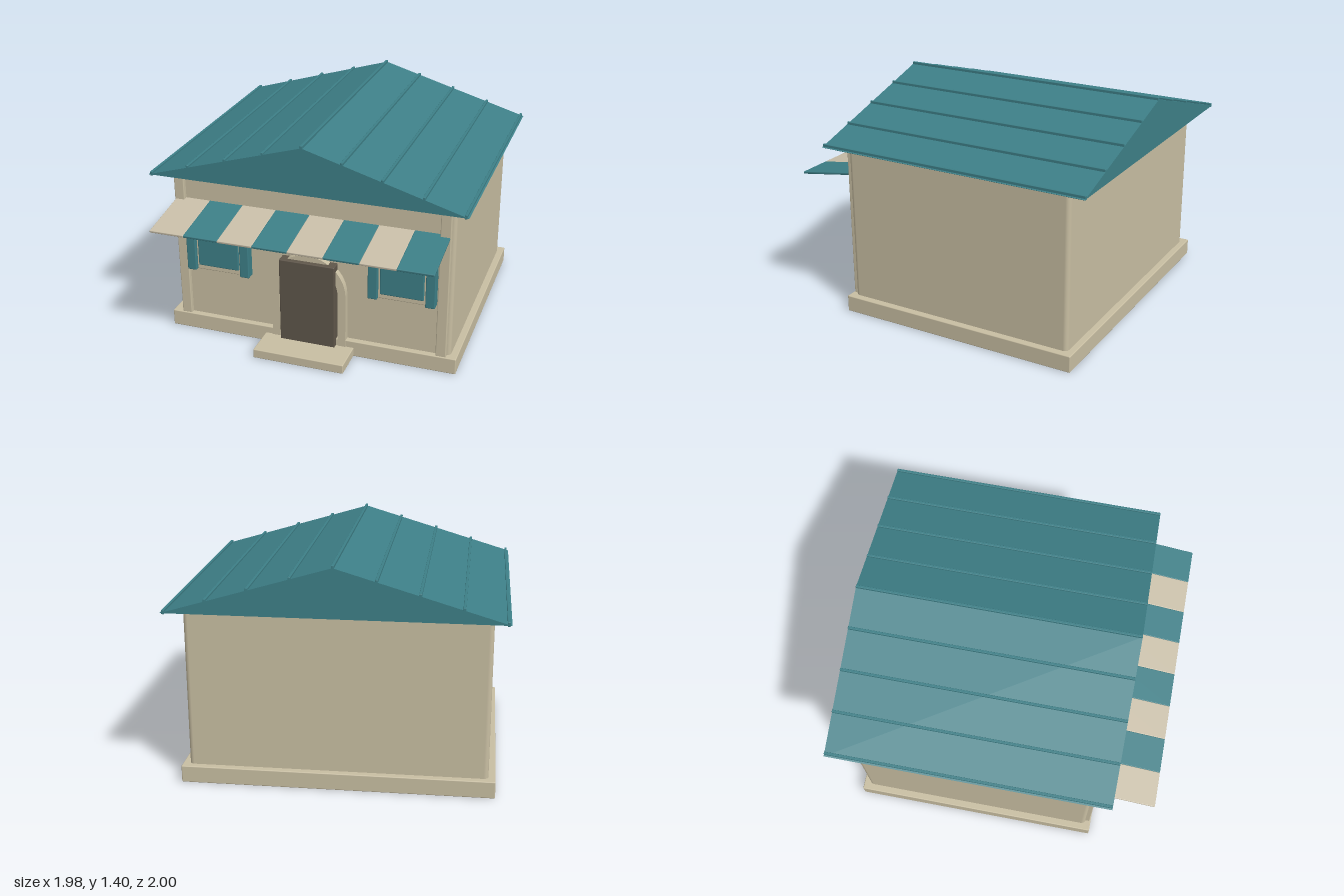
import * as THREE from 'three';
import { RoundedBoxGeometry } from 'three/addons/geometries/RoundedBoxGeometry.js';

const mat = (name, color) => new THREE.MeshStandardMaterial({ name, color });

export function createModel() {
  const house = new THREE.Group();
  house.name = 'house';
  const cream = mat('cream plaster', 0xc8bea2);
  const canvas = mat('canvas', 0xc9bfa9);
  const teal = mat('teal', 0x3d7f87);
  const brown = mat('dark brown', 0x5f564a);

  const add = (name, geometry, material, parent = house) => {
    const mesh = new THREE.Mesh(geometry, material);
    mesh.name = name;
    parent.add(mesh);
    return mesh;
  };

  // Softened box given by its extents on each axis
  const box = (name, [x0, x1], [y0, y1], [z0, z1], material, r = 0.006, parent = house) => {
    const mesh = add(name, new RoundedBoxGeometry(x1 - x0, y1 - y0, z1 - z0, 2, r), material, parent);
    mesh.position.set((x0 + x1) / 2, (y0 + y1) / 2, (z0 + z1) / 2);
    return mesh;
  };

  // Foundation, walls and doorstep
  box('foundation', [-0.937, 0.937], [0, 0.105], [-0.91, 0.65], cream);
  box('walls', [-0.895, 0.895], [0.07, 1.09], [-0.87, 0.615], cream, 0.028);
  box('doorstep', [-0.292, 0.292], [0, 0.06], [0.6, 0.86], cream);

  // Front corner pilasters
  for (const s of [-1, 1]) {
    const [a, b] = [s * 0.807, s * 0.872].sort((p, q) => p - q);
    box('cornerPilaster', [a, b], [0.1, 1.092], [0.58, 0.642], cream);
  }

  // Gable roof
  const halfSpan = 0.988, eave = 1.09, ridge = 1.383, back = -1, front = 0.737;
  const gable = new THREE.Shape([
    new THREE.Vector2(-halfSpan, eave),
    new THREE.Vector2(halfSpan, eave),
    new THREE.Vector2(0, ridge),
  ]);
  const roof = add('roof', new THREE.ExtrudeGeometry(gable, { depth: front - back, bevelEnabled: false }), teal);
  roof.position.z = back;

  // Standing seams along the roof
  for (let i = -4; i <= 4; i++) {
    const x = i * 0.2425;
    const y = ridge - Math.abs(x) * (ridge - eave) / halfSpan;
    box('roofSeam', [x - 0.008, x + 0.008], [y - 0.012, y + 0.014], [back, front], teal, 0.003);
  }

  // Striped awning
  const awning = new THREE.Group();
  awning.name = 'awning';
  awning.position.set(0, 0.874, 0.8);
  awning.rotation.x = 0.155;
  house.add(awning);
  const stripe = 0.2165;
  for (let i = 0; i < 8; i++) {
    const x = -4 * stripe + i * stripe;
    box('awningStripe', [x, x + stripe], [-0.0075, 0.0075], [-0.2, 0.2], i % 2 ? teal : canvas, 0.004, awning);
  }

  // Windows with shutters
  for (const s of [-1, 1]) {
    const win = new THREE.Group();
    win.name = s > 0 ? 'leftWindow' : 'rightWindow';
    win.position.x = s * 0.592;
    house.add(win);
    box('windowFrame', [-0.175, 0.175], [0.44, 0.81], [0.59, 0.645], cream, 0.006, win);
    box('windowPane', [-0.135, 0.135], [0.475, 0.778], [0.61, 0.66], teal, 0.006, win);
    for (const t of [-1, 1]) {
      box('shutter', [t * 0.178 - 0.03, t * 0.178 + 0.03], [0.44, 0.81], [0.6, 0.672], teal, 0.006, win);
    }
  }

  // Arched door surround
  const arch = new THREE.Shape();
  arch.moveTo(-0.24, 0.05);
  arch.lineTo(-0.19, 0.05);
  arch.lineTo(-0.19, 0.414);
  arch.absarc(0, 0.414, 0.19, Math.PI, 0, true);
  arch.lineTo(0.19, 0.05);
  arch.lineTo(0.24, 0.05);
  arch.lineTo(0.24, 0.414);
  arch.absarc(0, 0.414, 0.24, 0, Math.PI, false);
  arch.closePath();
  const surround = add('doorSurround',
    new THREE.ExtrudeGeometry(arch, { depth: 0.065, bevelEnabled: false, curveSegments: 24 }), cream);
  surround.position.z = 0.59;

  // Door
  box('door', [-0.178, 0.178], [0.055, 0.615], [0.6, 0.683], brown);

  return house;
}
